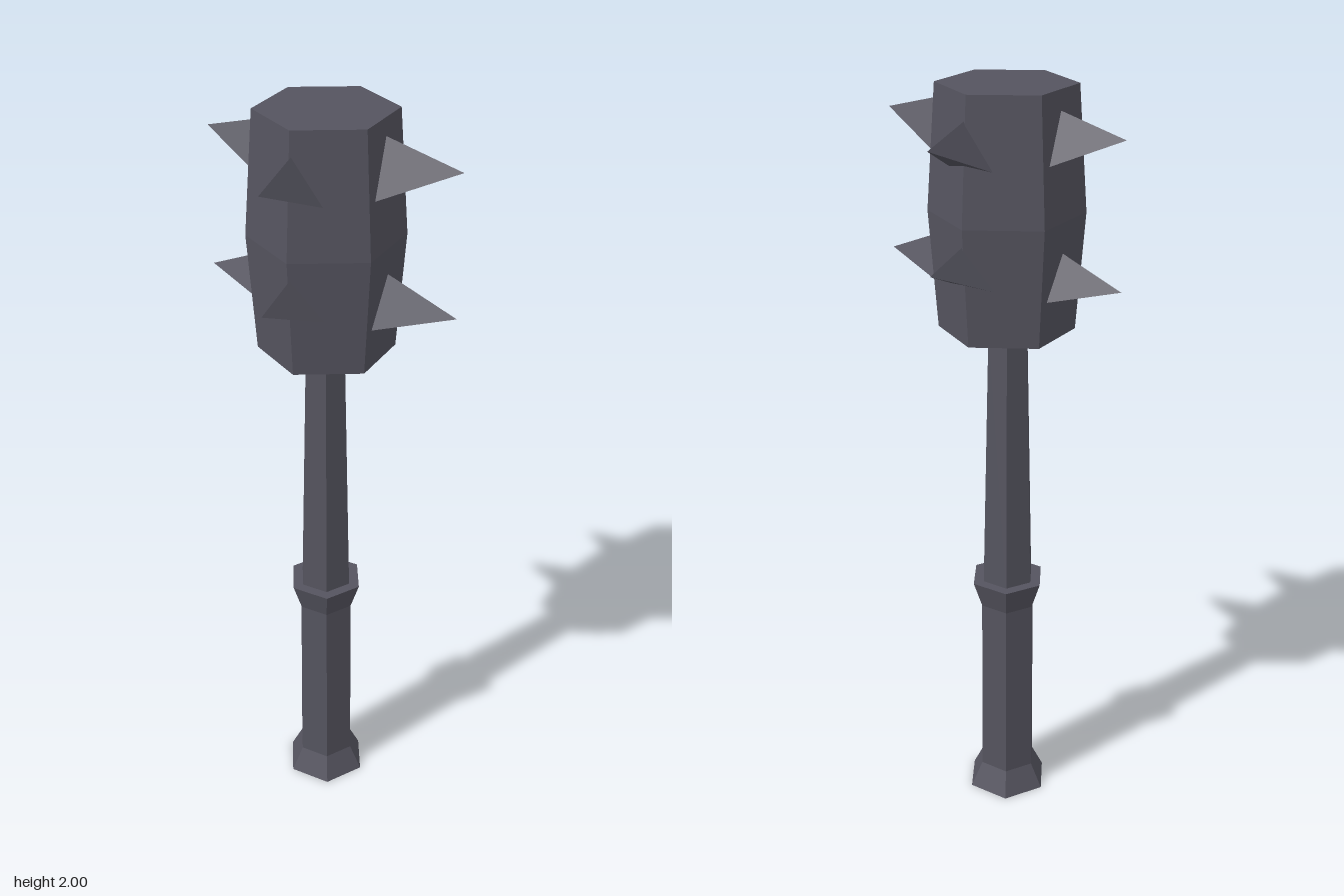
import * as THREE from 'three';

const iron = new THREE.MeshStandardMaterial({ color: 0x55545f });
iron.name = 'darkIron';

// Faceted mesh: every face gets its own flat normal
function facetedMesh(name, geometry) {
  const flat = geometry.index ? geometry.toNonIndexed() : geometry;
  flat.computeVertexNormals();
  const mesh = new THREE.Mesh(flat, iron);
  mesh.name = name;
  return mesh;
}

// Six-sided turned part from [radius, y] points, bottom to top
function hexTurned(name, profile, x, turn) {
  const points = profile.map(([r, y]) => new THREE.Vector2(r, y));
  const mesh = facetedMesh(name, new THREE.LatheGeometry(points, 6));
  mesh.position.x = x;
  mesh.rotation.y = turn;
  return mesh;
}

// Three-sided spike pointing along +z, its root pushed into the head
function spikeGeometry({ reach, tipY, topY, topZ, lowY, lowZ, half }) {
  const tip = new THREE.Vector3(0, tipY, reach);
  const root = (x, y, z) => new THREE.Vector3(x, y, z).sub(tip).multiplyScalar(1.15).add(tip);
  const top = root(0, topY, topZ);
  const left = root(-half, lowY, lowZ);
  const right = root(half, lowY, lowZ);
  return new THREE.BufferGeometry().setFromPoints(
    [tip, top, left, tip, right, top, tip, left, right, top, right, left]);
}

export function createModel() {
  const club = new THREE.Group();
  club.name = 'spikedClub';

  // Handle: flared pommel, grip, collar and tapering shaft
  club.add(hexTurned('grip',
    [[0, 0], [0.115, 0], [0.081, 0.07], [0.078, 0.595], [0.103, 0.67], [0, 0.67]],
    -0.014, Math.PI / 6));
  club.add(hexTurned('shaft',
    [[0, 0.66], [0.073, 0.66], [0.055, 1.4], [0, 1.4]], -0.014, Math.PI / 6));

  // Barrel-shaped head
  club.add(hexTurned('head',
    [[0, 1.39], [0.172, 1.39], [0.194, 1.69], [0.172, 2], [0, 2]], -0.01, 0));

  // Two rings of four spikes
  const sideSpikes = [
    { reach: 0.336, tipY: 1.905, topY: 1.957, topZ: 0.142, lowY: 1.828, lowZ: 0.155, half: 0.066 },
    { reach: 0.336, tipY: 1.543, topY: 1.62, topZ: 0.152, lowY: 1.499, lowZ: 0.15, half: 0.066 },
  ];
  const frontSpikes = [
    { reach: 0.319, tipY: 1.9, topY: 1.94, topZ: 0.174, lowY: 1.825, lowZ: 0.15, half: 0.063 },
    { reach: 0.319, tipY: 1.61, topY: 1.648, topZ: 0.18, lowY: 1.538, lowZ: 0.152, half: 0.063 },
  ];
  for (const turn of [0, Math.PI]) {
    for (const spec of sideSpikes) {
      const spike = facetedMesh('sideSpike', spikeGeometry(spec));
      spike.rotation.y = turn + Math.PI / 2;
      spike.position.z = -0.004;
      club.add(spike);
    }
    for (const spec of frontSpikes) {
      const spike = facetedMesh(turn ? 'backSpike' : 'frontSpike', spikeGeometry(spec));
      spike.rotation.y = turn;
      spike.position.x = -0.006;
      club.add(spike);
    }
  }
  return club;
}
